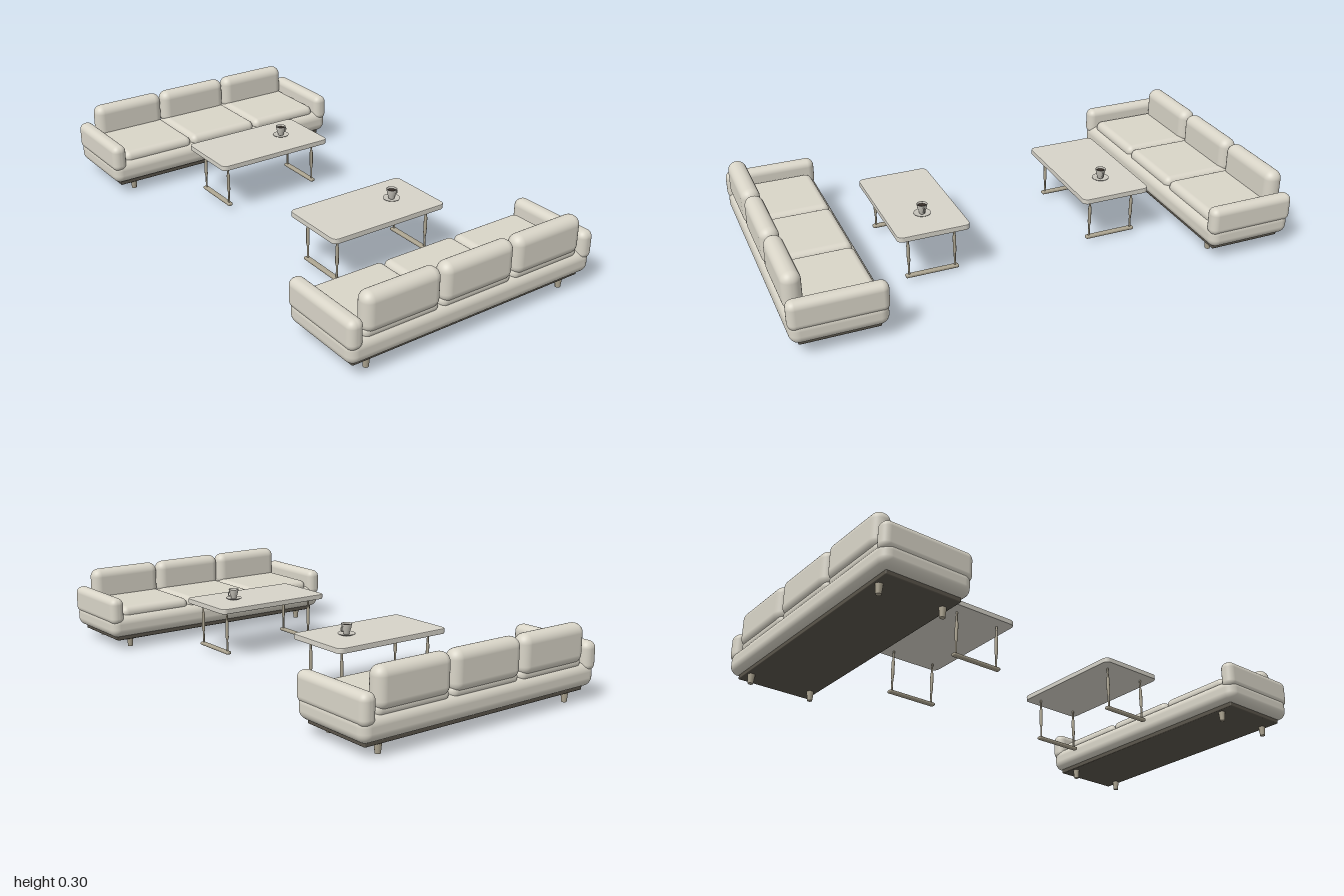
import * as THREE from 'three';
import { RoundedBoxGeometry } from 'three/addons/geometries/RoundedBoxGeometry.js';

function flatColour(name, color) {
  const material = new THREE.MeshStandardMaterial({ color });
  material.name = name;
  return material;
}

const fabric = flatColour('pale fabric', 0xd9d5c8);
const stone = flatColour('pale tabletop', 0xd6d3c9);
const frame = flatColour('taupe frame', 0xaca490);
const dark = flatColour('dark plinth', 0x5a554b);
const ceramic = flatColour('cup ceramic', 0xc8c5bc);
ceramic.side = THREE.DoubleSide;
const coffee = flatColour('coffee', 0x38302a);

function add(parent, name, geometry, material, x = 0, y = 0, z = 0) {
  const mesh = new THREE.Mesh(geometry, material);
  mesh.name = name;
  mesh.position.set(x, y, z);
  parent.add(mesh);
  return mesh;
}

// Rounded block given by its minimum and maximum corners
function pad(parent, name, material, [x0, y0, z0], [x1, y1, z1], radius) {
  const geometry = new RoundedBoxGeometry(x1 - x0, y1 - y0, z1 - z0, 5, radius);
  return add(parent, name, geometry, material, (x0 + x1) / 2, (y0 + y1) / 2, (z0 + z1) / 2);
}

function lathe(points, segments = 24) {
  return new THREE.LatheGeometry(points.map(([r, y]) => new THREE.Vector2(r, y)), segments);
}

// Sofa with its backrest towards +z
function createSofa() {
  const sofa = new THREE.Group();
  pad(sofa, 'plinth', dark, [-0.51, 0.037, 0.67], [0.51, 0.075, 0.965], 0.004);
  pad(sofa, 'base', fabric, [-0.543, 0.053, 0.643], [0.543, 0.146, 0.997], 0.036);

  // Three seats, each with a seat and a back cushion
  for (const x of [-0.322, 0, 0.322]) {
    pad(sofa, 'seatCushion', fabric, [x - 0.159, 0.125, 0.664], [x + 0.159, 0.178, 0.985], 0.026);
    pad(sofa, 'backCushion', fabric, [x - 0.158, 0.148, 0.924], [x + 0.158, 0.296, 0.996], 0.035);
  }

  for (const side of [-1, 1]) {
    const arm = pad(sofa, 'arm', fabric, [-0.03, 0.11, 0.641], [0.03, 0.223, 1], 0.027);
    arm.position.x = side * 0.515;
    for (const z of [0.695, 0.945]) {
      add(sofa, 'leg', new THREE.CylinderGeometry(0.014, 0.01, 0.04, 16), frame, side * 0.44, 0.02, z);
    }
  }
  return sofa;
}

function tabletopGeometry(w, d, h, r) {
  const bevel = 0.003, x = w / 2 - bevel, y = d / 2 - bevel;
  const shape = new THREE.Shape();
  shape.absarc(x - r, y - r, r, 0, Math.PI / 2);
  shape.absarc(-x + r, y - r, r, Math.PI / 2, Math.PI);
  shape.absarc(-x + r, -y + r, r, Math.PI, Math.PI * 1.5);
  shape.absarc(x - r, -y + r, r, Math.PI * 1.5, Math.PI * 2);
  const geometry = new THREE.ExtrudeGeometry(shape, {
    depth: h - 2 * bevel, bevelSize: bevel, bevelThickness: bevel, bevelSegments: 2, curveSegments: 6,
  });
  return geometry.translate(0, 0, bevel).rotateX(-Math.PI / 2);
}

// Filled cup on a saucer, handle towards +x
function createCup() {
  const cup = new THREE.Group();
  add(cup, 'saucer', lathe([[0, 0], [0.02, 0], [0.033, 0.006], [0.033, 0.008], [0.019, 0.004], [0, 0.004]]),
    ceramic);
  add(cup, 'bowl', lathe([[0, 0.004], [0.011, 0.004], [0.012, 0.009], [0.016, 0.022], [0.021, 0.044],
    [0.019, 0.044], [0.014, 0.022], [0.01, 0.011], [0, 0.01]]), ceramic);
  add(cup, 'coffee', new THREE.CircleGeometry(0.0175, 24).rotateX(-Math.PI / 2), coffee, 0, 0.037, 0);
  add(cup, 'handle', new THREE.TorusGeometry(0.01, 0.0025, 8, 16, Math.PI), ceramic, 0.016, 0.026, 0)
    .rotation.z = -Math.PI / 2;
  return cup;
}

// Coffee table on two leg frames
function createTable() {
  const table = new THREE.Group();
  add(table, 'tabletop', tabletopGeometry(0.515, 0.286, 0.021, 0.02), stone, 0, 0.196, 0);
  const post = lathe([[0.004, 0.018], [0.004, 0.075], [0.0065, 0.085], [0.0065, 0.15], [0.004, 0.16],
    [0.004, 0.198]], 14);
  for (const x of [-0.208, 0.208]) {
    add(table, 'footBar', new RoundedBoxGeometry(0.021, 0.013, 0.212, 3, 0.005), frame, x, 0.021, 0);
    for (const z of [-0.092, 0.092]) add(table, 'tableLeg', post, frame, x, 0, z);
  }
  const cup = createCup();
  cup.name = 'cup';
  cup.position.set(0.113, 0.217, 0);
  table.add(cup);
  return table;
}

export function createModel() {
  const model = new THREE.Group();
  model.name = 'loungeSet';

  // Two facing sofas, each with a table in front
  for (const side of [-1, 1]) {
    const sofa = createSofa();
    sofa.name = side > 0 ? 'frontSofa' : 'backSofa';
    sofa.rotation.y = side > 0 ? 0 : Math.PI;
    const table = createTable();
    table.name = side > 0 ? 'frontTable' : 'backTable';
    table.position.z = side * 0.378;
    model.add(sofa, table);
  }
  return model;
}
